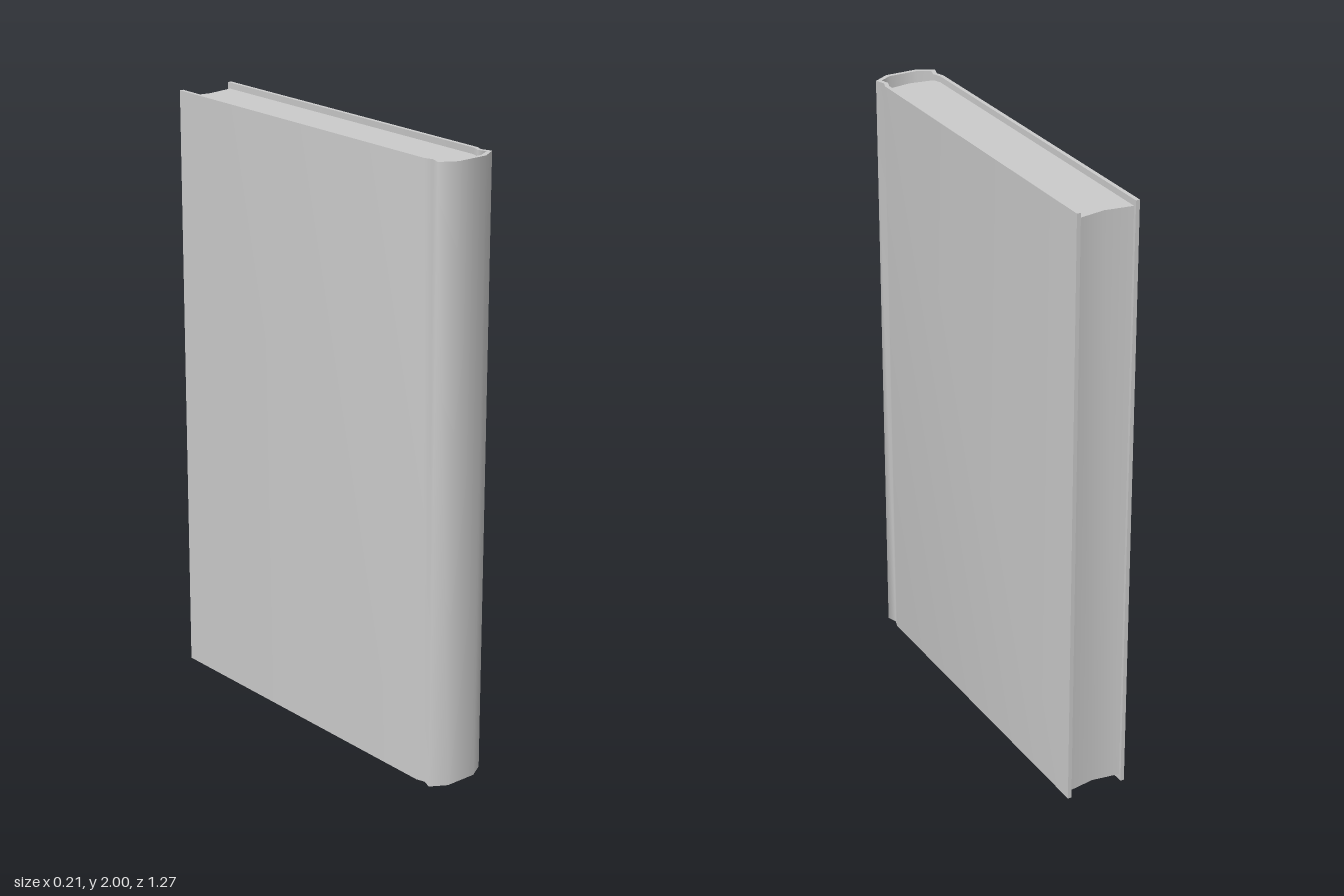
import * as THREE from 'three';
import { toCreasedNormals } from 'three/addons/utils/BufferGeometryUtils.js';

const material = new THREE.MeshStandardMaterial({ color: 0xcccccc });

// Extrudes an (x, z) outline upward from y0 to y1
function extrudeUp(name, outline, y0, y1, crease) {
  const shape = new THREE.Shape(outline.map(([x, z]) => new THREE.Vector2(x, z)));
  const geometry = new THREE.ExtrudeGeometry(shape, { depth: y1 - y0, bevelEnabled: false });
  geometry.rotateX(Math.PI / 2).translate(0, y1, 0);
  const mesh = new THREE.Mesh(toCreasedNormals(geometry, crease), material);
  mesh.name = name;
  return mesh;
}

const mirrored = (points) => points.map(([x, z]) => [-x, z]).reverse();

export function createModel() {
  const book = new THREE.Group();
  book.name = 'book';

  // Hardback cover: boards, pinched hinges and hollow spine in one strip
  const outer = [[0.104, -0.634], [0.104, 0.54], [0.095, 0.567], [0.106, 0.601], [0.054, 0.632]];
  const inner = [[0.091, -0.634], [0.091, 0.538], [0.081, 0.567], [0.089, 0.595], [0.048, 0.618]];
  const cover = [...outer, ...mirrored(outer), ...mirrored(inner).reverse(), ...inner.slice().reverse()];
  book.add(extrudeUp('cover', cover, 0, 2, 1.4));

  // Page block: hollow fore edge, rounded towards the spine
  const pages = [
    [0.091, -0.624], [0.091, 0.538], [0.081, 0.565], [0, 0.577],
    [-0.081, 0.565], [-0.091, 0.538], [-0.091, -0.624], [0, -0.61],
  ];
  book.add(extrudeUp('pages', pages, 0.02, 1.98, 0.7));

  return book;
}
